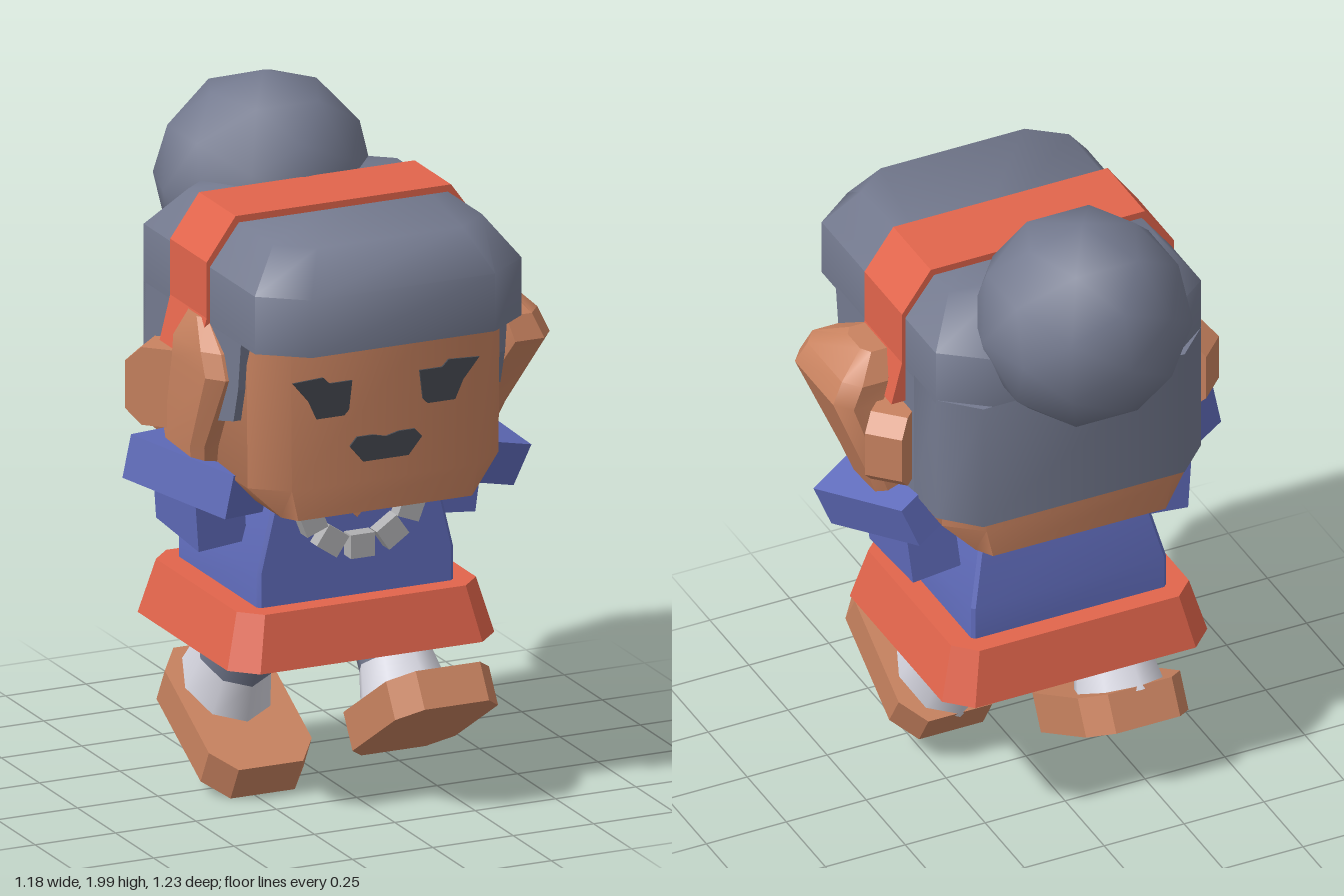
import * as THREE from 'three';
import { toCreasedNormals } from 'three/addons/utils/BufferGeometryUtils.js';

const paint = (name, color) => {
  const m = new THREE.MeshStandardMaterial({ color });
  m.name = name;
  return m;
};
const SKIN = paint('skin', 0xc98360);
const HAIR = paint('slate hair', 0x747a8f);
const CORAL = paint('coral cloth', 0xe2654c);
const BLUE = paint('blue cloth', 0x616dbd);
const WHITE = paint('white sock', 0xd6d6e0);
const BEAD = paint('grey bead', 0xb0b0b2);
const DARK = paint('dark features', 0x43464d);

// Stack of chamfered rectangles: [y, half width, back z, front z, chamfer x, chamfer z, centre x]
function loft(sections, crease = 0.95) {
  const rings = sections.map(([y, h, z0, z1, cx = 0.01, cz = cx, x = 0]) => [
    [h, z0 + cz], [h, z1 - cz], [h - cx, z1], [cx - h, z1],
    [-h, z1 - cz], [-h, z0 + cz], [cx - h, z0], [h - cx, z0],
  ].map(([px, pz]) => [px + x, y, pz]));
  const pos = [];
  const tri = (a, b, c) => pos.push(...a, ...b, ...c);
  for (let i = 0; i < rings.length - 1; i++) {
    for (let j = 0; j < 8; j++) {
      const k = (j + 1) % 8;
      const a = rings[i][j], b = rings[i][k], c = rings[i + 1][j], d = rings[i + 1][k];
      tri(a, c, b);
      tri(b, c, d);
    }
  }
  const top = rings[rings.length - 1], bottom = rings[0];
  for (let j = 1; j < 7; j++) {
    tri(top[0], top[j + 1], top[j]);
    tri(bottom[0], bottom[j], bottom[j + 1]);
  }
  const g = new THREE.BufferGeometry();
  g.setAttribute('position', new THREE.Float32BufferAttribute(pos, 3));
  return toCreasedNormals(g, crease);
}

// Straight extrusion of a point outline, centred on its depth
function slab(points, depth) {
  const shape = new THREE.Shape(points.map(([x, y]) => new THREE.Vector2(x, y)));
  return new THREE.ExtrudeGeometry(shape, { depth, bevelEnabled: false }).translate(0, 0, -depth / 2);
}

export function createModel() {
  const model = new THREE.Group();
  model.name = 'figure';
  const body = new THREE.Group();
  body.name = 'body';
  body.position.x = -0.025;
  model.add(body);

  const add = (parent, name, geometry, material, p = [0, 0, 0], r = [0, 0, 0]) => {
    const m = new THREE.Mesh(geometry, material);
    m.name = name;
    m.position.set(...p);
    m.rotation.set(...r);
    parent.add(m);
    return m;
  };

  // Head with narrowed jaw
  add(body, 'head', loft([
    [0.94, 0.3, -0.29, 0.49, 0.03, 0.05],
    [1.03, 0.39, -0.29, 0.49, 0.1, 0.08],
    [1.6, 0.395, -0.29, 0.49, 0.1, 0.08],
  ]), SKIN);

  // Face plates
  const eye = [[0.29, 1.35], [0.195, 1.355], [0.175, 1.335], [0.105, 1.335],
    [0.115, 1.25], [0.13, 1.235], [0.215, 1.235], [0.24, 1.29]];
  for (const s of [1, -1]) {
    add(body, s > 0 ? 'leftEye' : 'rightEye', slab(eye.map(([x, y]) => [s * x, y]), 0.008), DARK, [0, 0, 0.492]);
  }
  add(body, 'mouth', slab([[-0.112, 1.14], [-0.09, 1.165], [-0.04, 1.165], [0, 1.155], [0.04, 1.165],
    [0.09, 1.165], [0.112, 1.14], [0.07, 1.09], [-0.07, 1.09]], 0.008), DARK, [0, 0, 0.492]);

  // Hair: fringe and crown, nape, side panels, bun
  add(body, 'hairCrown', loft([
    [1.46, 0.415, -0.32, 0.61, 0.13, 0.1],
    [1.63, 0.415, -0.32, 0.61, 0.13, 0.1],
    [1.75, 0.325, -0.2, 0.52, 0.1, 0.08],
  ]), HAIR);
  add(body, 'hairBack', loft([
    [1.07, 0.415, -0.32, 0.02, 0.1, 0.1],
    [1.47, 0.415, -0.32, 0.02, 0.1, 0.1],
  ]), HAIR);
  const sidePanel = [[0.42, 1.47], [0.4, 1.32], [0.37, 1.22], [0.26, 1.19], [0.04, 1.19],
    [0, 1.07], [-0.22, 1.07], [-0.22, 1.47]];
  for (const s of [1, -1]) {
    add(body, 'hairSide', slab(sidePanel, 0.05).rotateY(-Math.PI / 2), HAIR, [s * 0.39, 0, 0]);
  }
  add(body, 'hairBun', new THREE.IcosahedronGeometry(0.313, 1), HAIR, [0, 1.688, -0.31]);

  // Headband over the crown, flaring at its ends
  add(body, 'headband', slab([[-0.458, 1.35], [0.458, 1.35], [0.425, 1.48], [0.425, 1.645],
    [0.335, 1.77], [-0.335, 1.77], [-0.425, 1.645], [-0.425, 1.48]], 0.24), CORAL, [0, 0, 0.095]);

  // Ears
  const ear = [[-0.11, -0.07], [-0.06, -0.115], [0.06, -0.115], [0.11, -0.07],
    [0.11, 0.07], [0.06, 0.115], [-0.06, 0.115], [-0.11, 0.07]];
  for (const s of [1, -1]) {
    add(body, s > 0 ? 'leftEar' : 'rightEar', slab(ear, 0.11), SKIN, [s * 0.437, 1.225, -0.012], [0, s * Math.PI / 4, 0]);
  }

  // Tunic, neckline and hem
  add(body, 'tunic', loft([
    [0.6, 0.305, -0.23, 0.3], [0.73, 0.305, -0.23, 0.3], [0.96, 0.25, -0.18, 0.3],
  ], 0.3), BLUE);
  add(body, 'neckline', slab([[0, 0.86], [0.09, 0.95], [-0.09, 0.95]], 0.008), SKIN, [0, 0, 0.302]);
  add(body, 'hem', loft([
    [0.47, 0.415, -0.33, 0.4, 0.07], [0.63, 0.372, -0.29, 0.36, 0.06],
  ], 0.3), CORAL);

  // Bead necklace
  for (let i = -3; i <= 3; i++) {
    const a = i * 0.6;
    add(body, 'bead', new THREE.BoxGeometry(0.075, 0.07, 0.06), BEAD,
      [Math.sin(a) * 0.165, 0.935 - Math.cos(a) * 0.148, 0.315], [0, 0, a]);
  }

  // Raised arms, each posed a little differently
  const arms = [
    { name: 'leftArm', x: 0.345, lean: 0.1, cuff: [0.38, 0.985, 0.07], turn: [0.28, 0.3, -0.38],
      hand: [[0.95, 0.07, 0, 0.19, 0.03, 0.03, 0.36], [1.1, 0.075, -0.01, 0.23, 0.03, 0.03, 0.41],
        [1.33, 0.085, 0.02, 0.365, 0.04, 0.05, 0.484], [1.4, 0.08, 0.02, 0.34, 0.04, 0.05, 0.462],
        [1.475, 0.05, 0.07, 0.21, 0.02, 0.03, 0.42]] },
    { name: 'rightArm', x: -0.385, lean: -0.1, cuff: [-0.41, 0.99, 0.11], turn: [0.15, 0.46, -0.2],
      hand: [[0.95, 0.07, 0, 0.19, 0.03, 0.03, -0.4], [1.1, 0.07, -0.01, 0.22, 0.03, 0.03, -0.42],
        [1.33, 0.07, 0.02, 0.34, 0.04, 0.05, -0.42], [1.4, 0.07, 0.03, 0.31, 0.04, 0.05, -0.42],
        [1.475, 0.05, 0.08, 0.2, 0.02, 0.03, -0.41]] },
  ];
  for (const { name, x, lean, cuff, turn, hand } of arms) {
    const arm = new THREE.Group();
    arm.name = name;
    model.add(arm);
    add(arm, 'sleeve', new THREE.BoxGeometry(0.15, 0.19, 0.28), BLUE, [x, 0.885, 0.03], [0.07, 0, -lean]);
    add(arm, 'cuff', new THREE.BoxGeometry(0.24, 0.13, 0.37), BLUE, cuff, turn);
    add(arm, 'hand', loft(hand, 0.5), SKIN);
  }

  // Striding legs, built upright from the foot and then tilted
  const legs = [
    { name: 'leftLeg', p: [0.205, 0.26, 0.29], tilt: -0.555 },
    { name: 'rightLeg', p: [-0.2, 0.178, -0.08], tilt: 0.5 },
  ];
  for (const { name, p, tilt } of legs) {
    const leg = new THREE.Group();
    leg.name = name;
    leg.position.set(...p);
    leg.rotation.x = tilt;
    body.add(leg);
    add(leg, 'foot', loft([
      [-0.057, 0.16, -0.245, 0.245, 0.06, 0.08], [0.057, 0.16, -0.245, 0.245, 0.06, 0.08],
    ], 0.3), SKIN);
    const sock = add(leg, 'sock', new THREE.CylinderGeometry(0.105, 0.13, 0.13, 8), WHITE, [0, 0.11, -0.09]);
    const stocking = add(leg, 'stocking', new THREE.CylinderGeometry(0.108, 0.106, 0.24, 8), HAIR, [0, 0.285, -0.09]);
    sock.scale.z = stocking.scale.z = 1.25;
  }
  return model;
}
